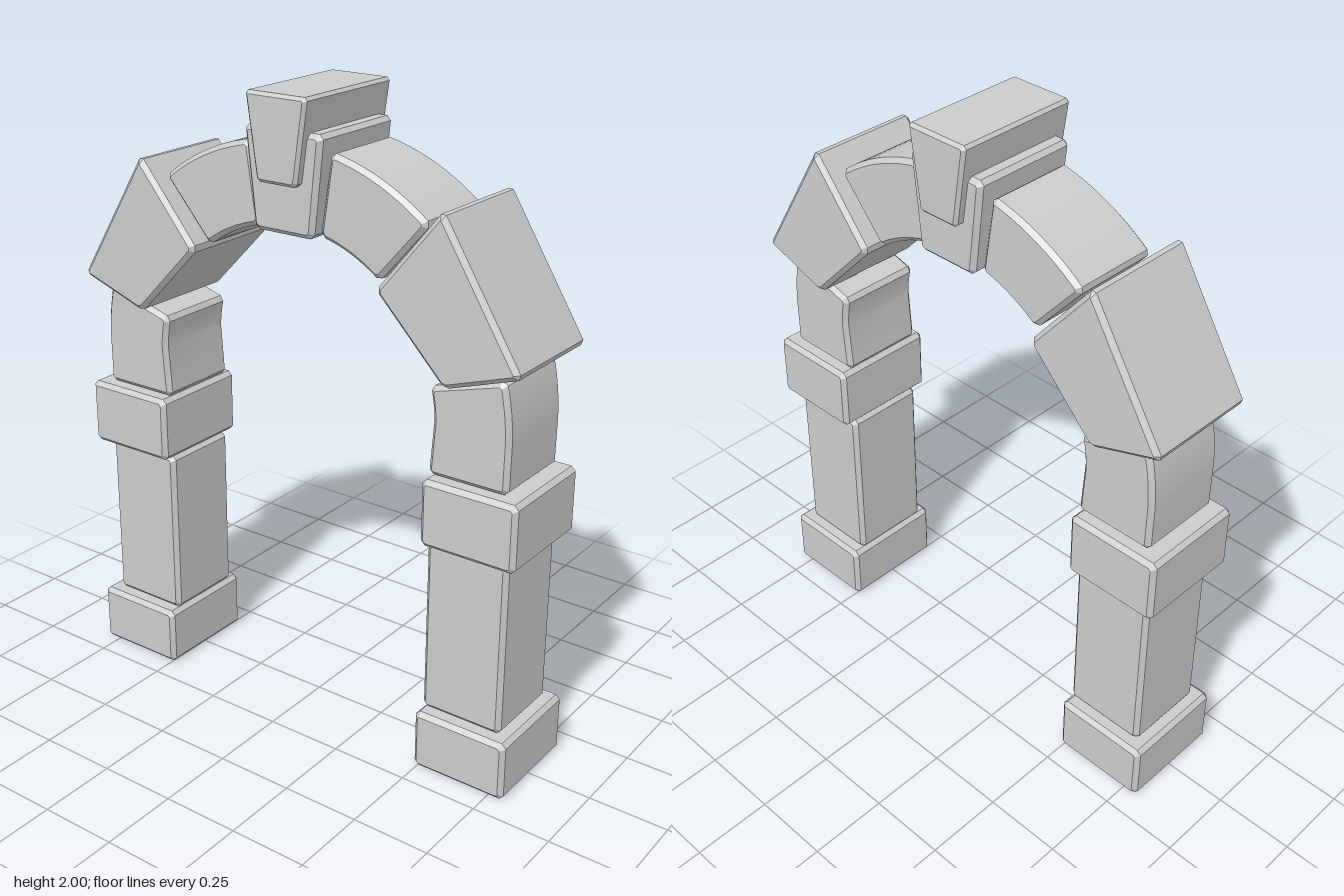
import * as THREE from 'three';
import { toCreasedNormals } from 'three/addons/utils/BufferGeometryUtils.js';

const CENTRE_Y = 1.11, R_IN = 0.5, R_OUT = 0.75;
const material = new THREE.MeshStandardMaterial({ color: 0xcccccc });

// Cut the sharp corners of a closed outline, leaving gentle curve points alone
function chamfer(points, c) {
  const result = [];
  points.forEach((p, i) => {
    const toPrev = points[(i + points.length - 1) % points.length].clone().sub(p);
    const toNext = points[(i + 1) % points.length].clone().sub(p);
    const turn = Math.PI - Math.acos(toPrev.dot(toNext) / (toPrev.length() * toNext.length()));
    if (turn < 0.5) result.push(p);
    else {
      result.push(p.clone().addScaledVector(toPrev.normalize(), c));
      result.push(p.clone().addScaledVector(toNext.normalize(), c));
    }
  });
  return result;
}

// A stone: side outline of [z, y] points, extruded across x with bevelled edges
function stone(name, outline, halfWidth, bevel = 0.014) {
  const points = chamfer(outline.map(([z, y]) => new THREE.Vector2(z, y)), bevel);
  const geometry = new THREE.ExtrudeGeometry(new THREE.Shape(points), {
    depth: 2 * (halfWidth - bevel), bevelEnabled: true, bevelSegments: 1,
    bevelThickness: bevel, bevelSize: bevel, bevelOffset: -bevel,
  });
  geometry.translate(0, 0, -(halfWidth - bevel));
  geometry.rotateY(-Math.PI / 2);
  const mesh = new THREE.Mesh(toCreasedNormals(geometry, 0.4), material);
  mesh.name = name;
  return mesh;
}

const rect = (z0, z1, y0, y1) => [[z0, y0], [z1, y0], [z1, y1], [z0, y1]];

// Points on the arch circle between two angles in degrees
function arc(radius, from, to, steps) {
  return Array.from({ length: steps + 1 }, (_, i) => {
    const a = THREE.MathUtils.degToRad(from + (to - from) * i / steps);
    return [radius * Math.cos(a), CENTRE_Y + radius * Math.sin(a)];
  });
}

export function createModel() {
  const arch = new THREE.Group();
  arch.name = 'stoneArch';

  // Stones of one side, from the ground up: name, outline, half width
  const sideStones = [
    ['base', rect(0.487, 0.8, 0, 0.193), 0.177],
    ['pillar', rect(0.49, 0.76, 0.193, 0.754), 0.138],
    ['impost', rect(0.487, 0.8, 0.754, 0.965), 0.177],
    ['lowerArchStone', [
      [0.487, 0.968], [0.748, 0.968],
      ...arc(R_OUT, 1, 15, 6), ...arc(R_IN, 14.4, 3, 6),
    ], 0.143],
    ['shoulderBlock', [[0.556, 1.255], [0.797, 1.336], [0.537, 1.752], [0.325, 1.494]], 0.188],
    ['upperArchStone', [...arc(R_OUT, 51, 79, 10), ...arc(R_IN, 77.8, 52, 10)], 0.145],
  ];

  for (const [sideName, sign] of [['front', 1], ['back', -1]]) {
    const side = new THREE.Group();
    side.name = sideName + 'Side';
    for (const [name, outline, halfWidth] of sideStones) {
      side.add(stone(name, outline.map(([z, y]) => [sign * z, y]), halfWidth));
    }
    arch.add(side);
  }

  // Crown: a wedge between the two sides with a wider keystone set into it
  arch.add(stone('crownStone', [[-0.105, 1.595], [0.105, 1.595], [0.138, 1.897], [-0.138, 1.897]], 0.177));
  arch.add(stone('keystone', [[-0.07, 1.745], [0.07, 1.745], [0.108, 2], [-0.108, 2]], 0.207, 0.01));

  return arch;
}
